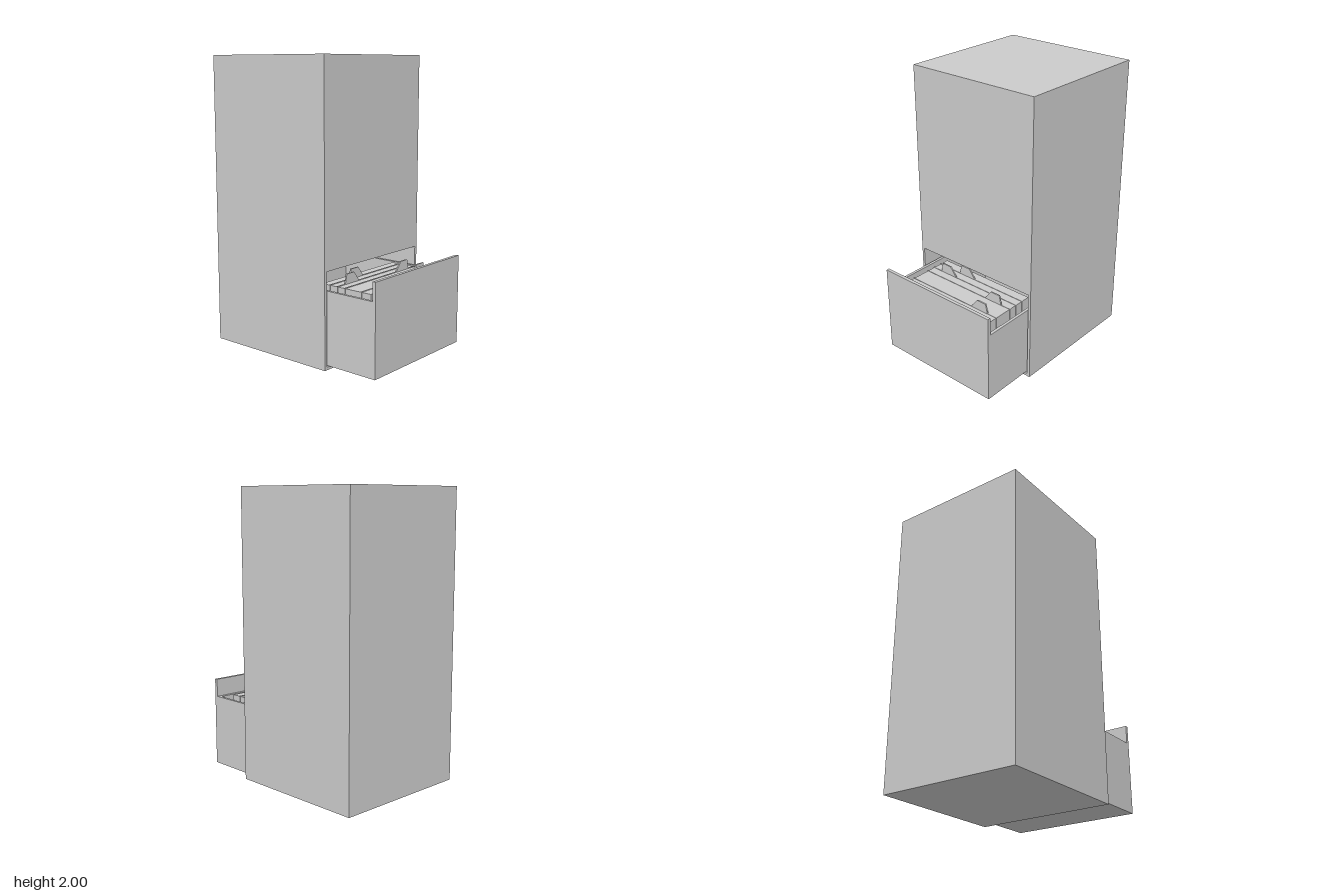
import * as THREE from 'three';

const grey = new THREE.MeshStandardMaterial({ color: 0xcccccc, flatShading: true });

function add(parent, name, geometry) {
  const mesh = new THREE.Mesh(geometry, grey);
  mesh.name = name;
  parent.add(mesh);
  return mesh;
}

// Box given by its limits on each axis
function box(parent, name, x0, x1, y0, y1, z0, z1) {
  const mesh = add(parent, name, new THREE.BoxGeometry(x1 - x0, y1 - y0, z1 - z0));
  mesh.position.set((x0 + x1) / 2, (y0 + y1) / 2, (z0 + z1) / 2);
  return mesh;
}

function polygon(points, Type = THREE.Shape) {
  return new Type(points.map(([x, y]) => new THREE.Vector2(x, y)));
}

// Thin divider sheet with a sloped tab; side = 1 or -1 mirrors the tab
function divider(parent, z, side, shift = 0) {
  const tab = [[0.305, 0.535], [0.29, 0.6], [0.215, 0.6], [0.165, 0.535]];
  const tabPoints = tab.map(([x, y]) => [side * (x + shift), y]);
  if (side < 0) tabPoints.reverse();
  const shape = polygon([[-0.385, 0.05], [0.385, 0.05], [0.385, 0.535], ...tabPoints, [-0.385, 0.535]]);
  const geometry = new THREE.ExtrudeGeometry(shape, { depth: 0.01, bevelEnabled: false });
  add(parent, 'divider', geometry).position.z = z - 0.005;
}

export function createModel() {
  const model = new THREE.Group();
  model.name = 'filingCabinet';

  // Cabinet body with the drawer opening running in from the front
  const outline = polygon([[-0.5, 0], [0.5, 0], [0.5, 2], [-0.5, 2]]);
  outline.holes.push(polygon([[-0.48, 0.02], [-0.48, 0.65], [0.48, 0.65], [0.48, 0.02]], THREE.Path));
  const body = add(model, 'cabinetBody', new THREE.ExtrudeGeometry(outline, { depth: 0.975, bevelEnabled: false }));
  body.position.z = -0.665;
  box(model, 'cabinetBack', -0.5, 0.5, 0, 2, -0.688, -0.665);

  // Open drawer
  const drawer = new THREE.Group();
  drawer.name = 'drawer';
  model.add(drawer);
  const back = -0.32, front = 0.664;
  box(drawer, 'drawerFront', -0.465, 0.465, 0.025, 0.645, front, 0.687);
  box(drawer, 'drawerFloor', -0.465, 0.465, 0.025, 0.045, back, front);
  for (const s of [-1, 1]) {
    const side = box(drawer, 'drawerSide', -0.01, 0.01, 0.045, 0.52, back, front);
    side.position.x = s * 0.455;
  }
  box(drawer, 'drawerInnerFront', -0.445, 0.445, 0.045, 0.52, 0.64, front);
  box(drawer, 'drawerBack', -0.445, 0.445, 0.045, 0.52, back, back + 0.02);

  // Files packed between tabbed dividers
  const files = new THREE.Group();
  files.name = 'files';
  drawer.add(files);
  const stops = [0.585, 0.51, 0.375, 0.313, 0.25, 0.18];
  for (let i = 0; i < stops.length - 1; i++) {
    box(files, 'filePack', -0.38, 0.38, 0.045, 0.532, stops[i + 1] + 0.005, stops[i] - (i ? 0.005 : 0));
  }
  divider(files, stops[1], 1);
  divider(files, stops[2], 1);
  divider(files, stops[3], -1);
  divider(files, stops[4], -1, -0.12);

  return model;
}
